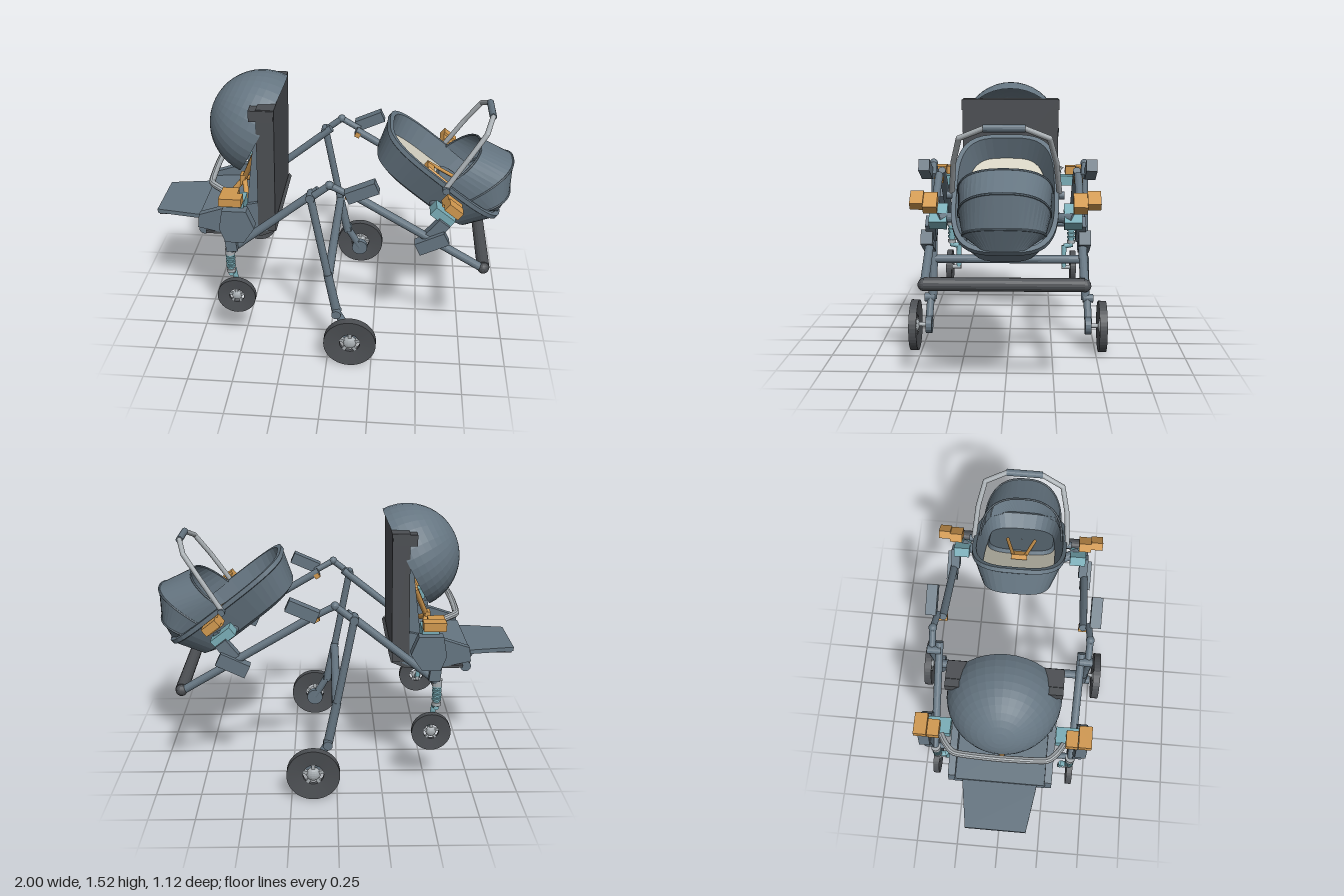
import * as THREE from 'three';

const mat = (name, color, side = THREE.FrontSide) => {
  const m = new THREE.MeshStandardMaterial({ color, flatShading: true, side });
  m.name = name;
  return m;
};
const V = (x, y, z) => new THREE.Vector3(x, y, z);

export function createModel() {
  const slate = mat('slate', 0x657581, THREE.DoubleSide);
  const dark = mat('charcoal', 0x4c4f53);
  const teal = mat('teal', 0x79adb7);
  const orange = mat('orange', 0xd0984f);
  const silver = mat('silver', 0xa9afb3);
  const beige = mat('beige', 0xd4d0c0);

  const model = new THREE.Group();
  model.name = 'twinStroller';
  let target = model;

  const add = (name, geo, m, x = 0, y = 0, z = 0) => {
    const mesh = new THREE.Mesh(geo, m);
    mesh.name = name;
    mesh.position.set(x, y, z);
    target.add(mesh);
    return mesh;
  };
  // box given by centre, size and a tilt about z
  const box = (name, m, c, s, tilt = 0) => {
    const b = add(name, new THREE.BoxGeometry(...s), m, ...c);
    b.rotation.z = tilt;
    return b;
  };
  // straight rod between two points
  const rod = (name, m, a, b, r, r2 = r) => {
    const p = V(...a), q = V(...b), d = q.clone().sub(p);
    const mesh = add(name, new THREE.CylinderGeometry(r2, r, d.length(), 16), m, ...p.add(q).multiplyScalar(0.5));
    mesh.quaternion.setFromUnitVectors(V(0, 1, 0), d.normalize());
    return mesh;
  };
  const ball = (name, m, c, r) => add(name, new THREE.SphereGeometry(r, 14, 10), m, ...c);
  // side outline in x, y extruded across z about zc
  const prism = (name, m, pts, zc, depth) => {
    const g = new THREE.ExtrudeGeometry(new THREE.Shape(pts.map(p => new THREE.Vector2(...p))), { depth, bevelEnabled: false });
    return add(name, g.translate(0, 0, -depth / 2), m, 0, 0, zc);
  };
  // skin over a list of equal-length point rows
  const loft = (name, m, rows) => {
    const n = rows[0].length, idx = [];
    for (let i = 0; i < rows.length - 1; i++) for (let j = 0; j < n - 1; j++) {
      const a = i * n + j, b = a + n;
      idx.push(a, b, a + 1, a + 1, b, b + 1);
    }
    const g = new THREE.BufferGeometry();
    g.setAttribute('position', new THREE.Float32BufferAttribute(rows.flat(2), 3));
    g.setIndex(idx);
    g.computeVertexNormals();
    return add(name, g, m);
  };
  const pow = (v, e) => Math.sign(v) * Math.abs(v) ** e;

  // dished wheel with open spoked centre, lying across z
  const wheel = (name, x, y, z, r, w) => {
    const parent = target;
    target = new THREE.Group();
    target.name = name;
    target.position.set(x, y, z);
    parent.add(target);
    const ri = r * 0.39, h = w / 2;
    const prof = [[ri, -h * 0.5], [r, -h], [r, h], [ri, h * 0.5], [ri, -h * 0.5]];
    add('tyre', new THREE.LatheGeometry(prof.map(p => new THREE.Vector2(...p)), 40).rotateX(Math.PI / 2), dark);
    for (let i = 0; i < 5; i++) {
      const a = i * Math.PI * 0.4 + 0.3;
      box('spoke', silver, [Math.cos(a) * ri * 0.75, Math.sin(a) * ri * 0.75, 0], [ri * 0.65, r * 0.13, w * 0.5], a);
    }
    ball('hub', silver, [0, 0, 0], r * 0.27).scale.z = 0.6;
    target = parent;
  };

  // ---- frame and running gear, both sides ----
  for (const s of [1, -1]) {
    rod('frontFrameTube', slate, [-0.54, 0.63, s * 0.39], [-0.05, 1.025, s * 0.39], 0.022);
    rod('hingeLink', slate, [-0.09, 0.995, s * 0.43], [0.01, 1.075, s * 0.43], 0.019);
    ball('frameHinge', slate, [0.01, 1.075, s * 0.43], 0.024);
    rod('hingeLink', slate, [0.01, 1.075, s * 0.43], [0.12, 1.015, s * 0.42], 0.018);
    rod('handleTube', slate, [0.1, 1.02, s * 0.39], [0.84, 0.58, s * 0.39], 0.022);
    box('frameLatch', orange, [0.11, 0.995, s * 0.39], [0.03, 0.03, 0.05], -0.5);
    box('upperBracket', slate, [0.18, 1.06, s * 0.455], [0.17, 0.065, 0.06], 0.42);
    ball('handleEnd', dark, [0.84, 0.585, s * 0.39], 0.032);

    // rear leg and wheel
    rod('rearLegUpper', slate, [-0.09, 1.0, s * 0.435], [0.005, 0.5, s * 0.44], 0.021);
    rod('rearLegLower', slate, [0, 0.53, s * 0.44], [0.05, 0.28, s * 0.445], 0.024, 0.026);
    rod('legPivot', slate, [-0.09, 1.0, s * 0.38], [-0.09, 1.0, s * 0.455], 0.024);
    rod('rearArm', slate, [0.05, 0.29, s * 0.455], [0.13, 0.15, s * 0.46], 0.022);
    rod('rearArmJoint', slate, [0.05, 0.29, s * 0.43], [0.05, 0.29, s * 0.49], 0.026);
    rod('brakeDrum', slate, [0.13, 0.15, s * 0.44], [0.13, 0.15, s * 0.475], 0.05);
    rod('rearAxle', silver, [0.13, 0.15, s * 0.47], [0.13, 0.15, s * 0.53], 0.012);
    wheel('rearWheel', 0.13, 0.147, s * 0.537, 0.146, 0.044);

    // front suspension and wheel
    rod('springCollar', silver, [-0.545, 0.6, s * 0.385], [-0.545, 0.64, s * 0.385], 0.027);
    rod('springCore', teal, [-0.545, 0.48, s * 0.385], [-0.545, 0.62, s * 0.385], 0.018);
    for (let i = 0; i < 4; i++)
      rod('springCoil', teal, [-0.545, 0.518 + i * 0.024, s * 0.385], [-0.545, 0.53 + i * 0.024, s * 0.385], 0.026);
    rod('springSeat', silver, [-0.545, 0.485, s * 0.385], [-0.545, 0.505, s * 0.385], 0.025);
    rod('forkBridge', teal, [-0.545, 0.475, s * 0.395], [-0.54, 0.465, s * 0.34], 0.016);
    rod('forkArm', teal, [-0.54, 0.47, s * 0.34], [-0.52, 0.33, s * 0.34], 0.015);
    rod('frontAxle', silver, [-0.52, 0.33, s * 0.325], [-0.52, 0.33, s * 0.4], 0.013);
    wheel('frontWheel', -0.52, 0.33, s * 0.395, 0.108, 0.034);

    // seat mounts
    box('seatPost', slate, [-0.53, 0.74, s * 0.42], [0.06, 0.18, 0.05], 0.1);
    prism('seatMount', slate, [[-0.58, 0.8], [-0.56, 0.91], [-0.43, 0.91], [-0.39, 0.81], [-0.45, 0.72], [-0.55, 0.72]], s * 0.43, 0.06);
    box('seatClamp', teal, [-0.495, 0.905, s * 0.35], [0.09, 0.06, 0.13]);
    box('seatAdapterInner', orange, [-0.525, 0.965, s * 0.372], [0.09, 0.05, 0.064]);
    box('seatAdapterOuter', orange, [-0.51, 0.97, s * 0.442], [0.12, 0.045, 0.07]);

    // carrycot mounts
    box('cotBracket', slate, [0.555, 0.74, s * 0.4], [0.17, 0.075, 0.06], 0.45);
    box('cotPost', slate, [0.58, 0.81, s * 0.38], [0.07, 0.12, 0.05], -0.66);
    box('cotClamp', teal, [0.605, 0.88, s * 0.34], [0.13, 0.055, 0.09], -0.66);
    rod('cotArm', slate, [0.56, 0.87, s * 0.2], [0.64, 0.875, s * 0.34], 0.026);
    box('cotAdapterInner', orange, [0.65, 0.955, s * 0.375], [0.1, 0.05, 0.07], -0.66);
    box('cotAdapterOuter', orange, [0.655, 0.97, s * 0.442], [0.09, 0.045, 0.066], -0.66);
    rod('cotHandlePivot', slate, [0.62, 0.99, s * 0.25], [0.62, 0.99, s * 0.295], 0.02);
  }
  rod('handleBar', dark, [0.84, 0.588, -0.39], [0.84, 0.588, 0.39], 0.034);
  rod('rearCrossbar', slate, [0.003, 0.51, -0.43], [0.003, 0.51, 0.43], 0.025);
  rod('frontCrossbar', slate, [-0.53, 0.615, -0.385], [-0.53, 0.615, 0.385], 0.018);

  // ---- upright seat ----
  box('backrest', dark, [-0.345, 1.06, 0], [0.095, 0.72, 0.575], -0.02);
  box('backPad', slate, [-0.405, 1.02, 0], [0.04, 0.5, 0.46], -0.04);
  prism('seatBase', slate, [[-0.74, 0.69], [-0.74, 0.75], [-0.42, 0.77], [-0.32, 0.74], [-0.33, 0.7], [-0.4, 0.675], [-0.7, 0.675]], 0, 0.5);
  prism('seatUnderside', dark, [[-0.7, 0.675], [-0.4, 0.675], [-0.31, 0.71], [-0.3, 0.77], [-0.285, 0.75], [-0.3, 0.695], [-0.38, 0.66], [-0.7, 0.66]], 0, 0.56);
  for (const s of [1, -1]) {
    prism('seatSide', slate, [[-0.74, 0.7], [-0.73, 0.78], [-0.58, 0.83], [-0.4, 0.87], [-0.32, 0.78], [-0.32, 0.71], [-0.4, 0.675], [-0.6, 0.67]], s * 0.265, 0.04);
    prism('seatWing', slate, [[-0.46, 0.84], [-0.38, 0.84], [-0.38, 1.3], [-0.4, 1.3]], s * 0.25, 0.03);
    box('backClip', dark, [-0.36, 1.385, s * 0.255], [0.13, 0.06, 0.075]);
    rod('shoulderStrap', orange, [-0.44, 1.06, s * 0.1], [-0.52, 0.87, 0], 0.015);
    rod('lapStrap', orange, [-0.47, 0.79, s * 0.18], [-0.52, 0.87, 0], 0.015);
    rod('footrestHinge', slate, [-0.78, 0.71, s * 0.13], [-0.73, 0.64, s * 0.13], 0.014);
  }
  rod('crotchStrap', orange, [-0.6, 0.77, 0], [-0.52, 0.87, 0], 0.016);
  box('seatBuckle', orange, [-0.525, 0.87, 0], [0.03, 0.06, 0.06]);
  rod('footrestRoller', slate, [-0.73, 0.63, -0.19], [-0.73, 0.63, 0.19], 0.03);

  // tapered footrest plate
  const foot = new THREE.Shape([[-1, -0.165], [-0.78, -0.2], [-0.7, -0.21], [-0.7, 0.21], [-0.78, 0.2], [-1, 0.165]].map(p => new THREE.Vector2(...p)));
  const footGeo = new THREE.ExtrudeGeometry(foot, { depth: 0.024, bevelEnabled: false }).rotateX(Math.PI / 2);
  add('footrest', footGeo, slate, 0, 0.735, 0);
  box('footrestPad', dark, [-0.89, 0.708, 0], [0.2, 0.008, 0.33]);

  // half-dome canopy opening towards the seat
  const dome = add('canopy', new THREE.SphereGeometry(0.295, 36, 12, 0, Math.PI * 2, 0, Math.PI / 2), slate, -0.395, 1.222, 0);
  dome.rotation.z = 1.09;

  // bumper bar bowed forward
  const curve = pts => new THREE.CatmullRomCurve3(pts.map(p => V(...p)), false, 'catmullrom', 0.3);
  const bumper = [[-0.55, 0.955, 0.33], [-0.6, 0.965, 0.3], [-0.65, 0.968, 0.24], [-0.66, 0.968, 0], [-0.65, 0.968, -0.24], [-0.6, 0.965, -0.3], [-0.55, 0.955, -0.33]];
  add('bumperBar', new THREE.TubeGeometry(curve(bumper), 40, 0.018, 10), silver);

  // ---- tilted carrycot: local x runs along the rim, y out of the opening ----
  const cot = new THREE.Group();
  cot.name = 'carrycot';
  cot.position.set(0.31, 1.257, 0);
  cot.rotation.z = -0.665;
  model.add(cot);
  target = cot;
  const ring = (u0, u1, v, w) => Array.from({ length: 41 }, (_, i) => {
    const t = i / 40 * Math.PI * 2;
    return [(u0 + u1) / 2 + (u1 - u0) / 2 * pow(Math.cos(t), 0.6), v, w * pow(Math.sin(t), 0.6)];
  });
  loft('cotShell', slate, [ring(0.37, 0.38, -0.195, 0.001), ring(0.1, 0.67, -0.195, 0.17), ring(0.05, 0.71, -0.175, 0.205),
    ring(0, 0.785, -0.025, 0.258), ring(-0.008, 0.795, -0.02, 0.267), ring(-0.008, 0.795, 0.005, 0.267),
    ring(0.018, 0.77, 0.005, 0.245), ring(0.06, 0.72, -0.12, 0.205)]);
  loft('mattress', beige, [ring(0.06, 0.72, -0.105, 0.205), ring(0.37, 0.38, -0.105, 0.001)]);
  loft('legCover', slate, [ring(0.42, 0.735, -0.105, 0.2), ring(0.42, 0.735, -0.08, 0.19), ring(0.57, 0.58, -0.08, 0.001)]);

  // stepped hood: arches from base u, apex u, apex height, half width
  const arch = ([ub, ua, h, w]) => Array.from({ length: 25 }, (_, i) => {
    const t = i / 24 * Math.PI, k = Math.sin(t) ** 0.85;
    return [ub + (ua - ub) * k, h * k, w * pow(Math.cos(t), 0.8)];
  });
  const ribs = [[0.41, 0.46, 0.22, 0.235], [0.57, 0.657, 0.265, 0.225], [0.69, 0.758, 0.13, 0.2], [0.77, 0.79, 0.005, 0.11]];
  loft('hood', slate, ribs.map(arch));
  ribs.slice(0, 3).forEach(r =>
    add('hoodRib', new THREE.TubeGeometry(curve(arch(r)), 40, 0.006, 6), slate));

  // cot harness
  for (const s of [1, -1])
    rod('cotStrap', orange, [0.33, -0.07, s * 0.035], [0.52, -0.06, s * 0.08], 0.01);
  box('cotBuckle', orange, [0.35, -0.08, 0], [0.05, 0.03, 0.09]);

  // carry handle
  target = model;
  const grip = [[0.62, 1.0, 0.27], [0.73, 1.17, 0.25], [0.815, 1.295, 0.215], [0.85, 1.345, 0.095]];
  for (const s of [1, -1]) for (let i = 0; i < 3; i++) {
    const [a, b] = [grip[i], grip[i + 1]].map(([x, y, z]) => [x, y, s * z]);
    rod('carryHandleArm', silver, a, b, 0.014);
    ball('carryHandleBend', silver, b, 0.014);
  }
  rod('carryHandleGrip', slate, [0.85, 1.345, -0.1], [0.85, 1.345, 0.1], 0.019);

  return model;
}
